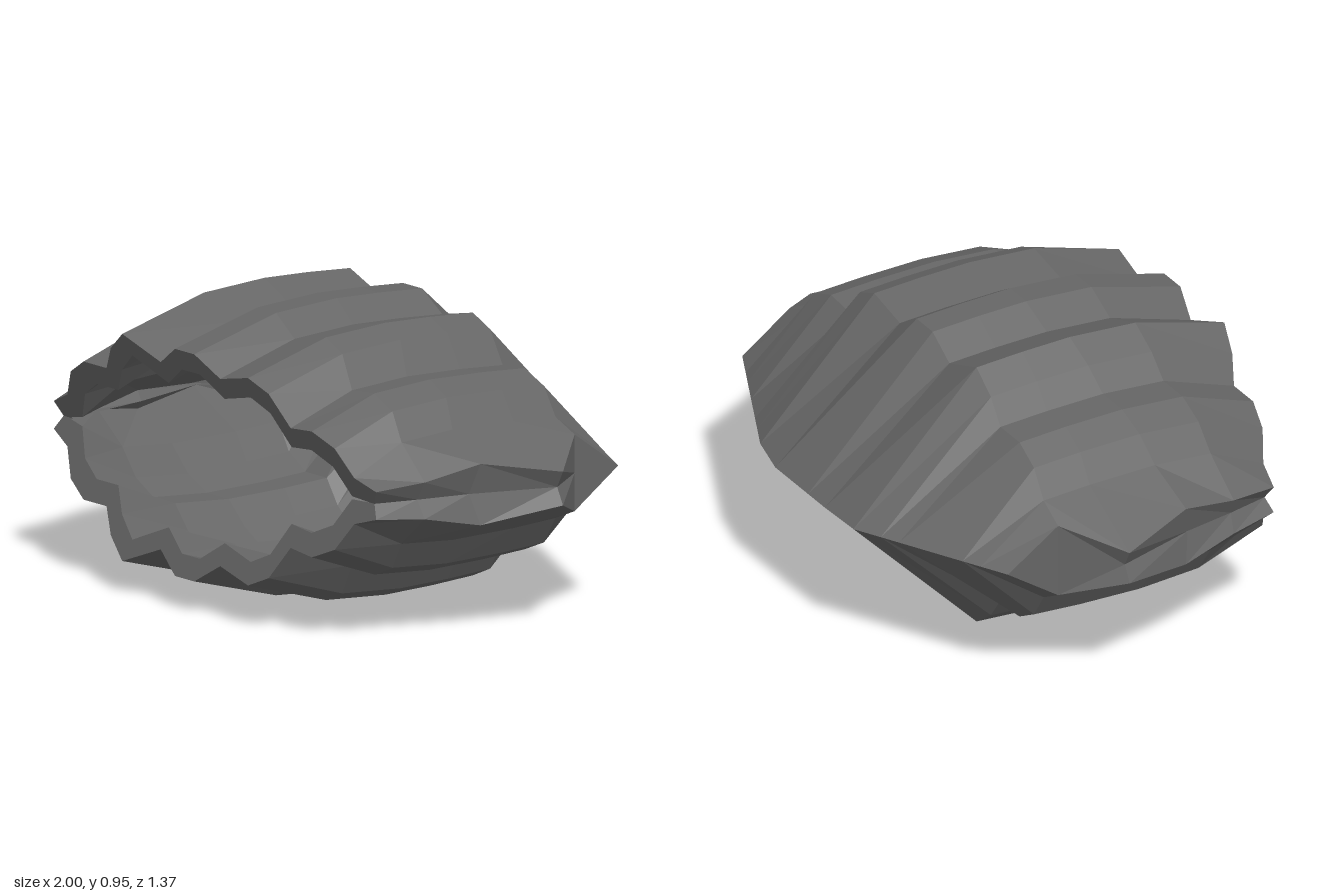
import * as THREE from 'three';

const MID = 0.48; // height of the seam between the two valves

// Ribbed cross-section of one valve: x, height above the seam
const RIBS = [
  [-0.75, 0.19], [-0.69, 0.28], [-0.6, 0.33], [-0.48, 0.33], [-0.42, 0.41], [-0.33, 0.475],
  [-0.16, 0.41], [-0.055, 0.475], [0.045, 0.475], [0.15, 0.41], [0.31, 0.443], [0.4, 0.405],
  [0.465, 0.3], [0.58, 0.31], [0.68, 0.27], [0.74, 0.18],
];

// Stations from lip to back: z at seam, z at crown, height drop, side edge x and height
const STATIONS = [
  { low: 0.555, high: 0.726, drop: 0.105, x: 0.84, h: 0.045 },
  { low: 0.41, high: 0.36, drop: 0.015, x: 0.875, h: 0.06 },
  { low: 0.23, high: 0.12, drop: 0, x: 0.91, h: 0.1 },
  { low: -0.055, high: -0.055, drop: 0.005, x: 1, h: 0.055 },
  { low: -0.225, high: -0.225, drop: 0.015, x: 0.84, h: 0.125 },
];

// Outline of the hinge seen from above: x, z
const HINGE = [[-0.84, -0.41], [-0.3, -0.695], [-0.17, -0.685], [0.15, -0.685], [0.28, -0.66], [0.84, -0.4]];

function hingeZ(x) {
  for (let i = 1; i < HINGE.length; i++) {
    const [x0, z0] = HINGE[i - 1], [x1, z1] = HINGE[i];
    if (x <= x1) return THREE.MathUtils.lerp(z0, z1, (x - x0) / (x1 - x0));
  }
  return HINGE[HINGE.length - 1][1];
}

// One cross-section, either the outside or the inset lining; side grooves sink to the seam
function section(s, inner) {
  const points = [
    [-s.x + 0.03 * (s.low > -0.2), 0], [-s.x, s.h],
    ...RIBS.map(([x, h]) => [x, h - s.drop]),
    [s.x, s.h], [s.x - 0.03 * (s.low > -0.2), 0],
  ];
  return points.map(([px, ph]) => {
    const x = inner ? px * 0.94 : px;
    const h = inner ? Math.max(ph - 0.07, 0) : ph;
    return [x, h, THREE.MathUtils.lerp(s.low, s.high, h / 0.47)];
  });
}

function hingeRow(inner) {
  return section(STATIONS[4], false).map(([x]) =>
    inner ? [x * 0.94, 0, hingeZ(x) + 0.05] : [x, 0, hingeZ(x)]);
}

// Faceted surface between successive rows; side is 1 for the upper valve, -1 for the lower
function loft(rows, side) {
  const position = [], index = [], n = rows[0].length;
  rows.forEach((row) => row.forEach(([x, h, z]) => position.push(x, MID + side * h, z)));
  for (let i = 0; i < rows.length - 1; i++) {
    for (let j = 0; j < n - 1; j++) {
      const a = i * n + j, b = a + 1, c = b + n, d = a + n;
      if (side > 0) index.push(a, b, c, a, c, d);
      else index.push(a, c, b, a, d, c);
    }
  }
  const indexed = new THREE.BufferGeometry();
  indexed.setAttribute('position', new THREE.Float32BufferAttribute(position, 3));
  indexed.setIndex(index);
  const geometry = indexed.toNonIndexed();
  geometry.computeVertexNormals();
  return geometry;
}

export function createModel() {
  const shellGrey = new THREE.MeshStandardMaterial({ color: 0x666666, flatShading: true, side: THREE.DoubleSide });
  shellGrey.name = 'shellGrey';

  const outer = STATIONS.map((s) => section(s, false));
  const inner = STATIONS.map((s) => section(s, true));
  const parts = {
    ribbedShell: outer,
    hingeSlope: [outer[4], hingeRow(false)],
    lip: [inner[0], outer[0]],
    lining: [hingeRow(true), ...inner.slice().reverse()],
  };

  const model = new THREE.Group();
  model.name = 'clam';
  for (const [valveName, side] of [['upperValve', 1], ['lowerValve', -1]]) {
    const valve = new THREE.Group();
    valve.name = valveName;
    for (const [name, rows] of Object.entries(parts)) {
      const mesh = new THREE.Mesh(loft(rows, side), shellGrey);
      mesh.name = name;
      valve.add(mesh);
    }
    model.add(valve);
  }
  return model;
}
